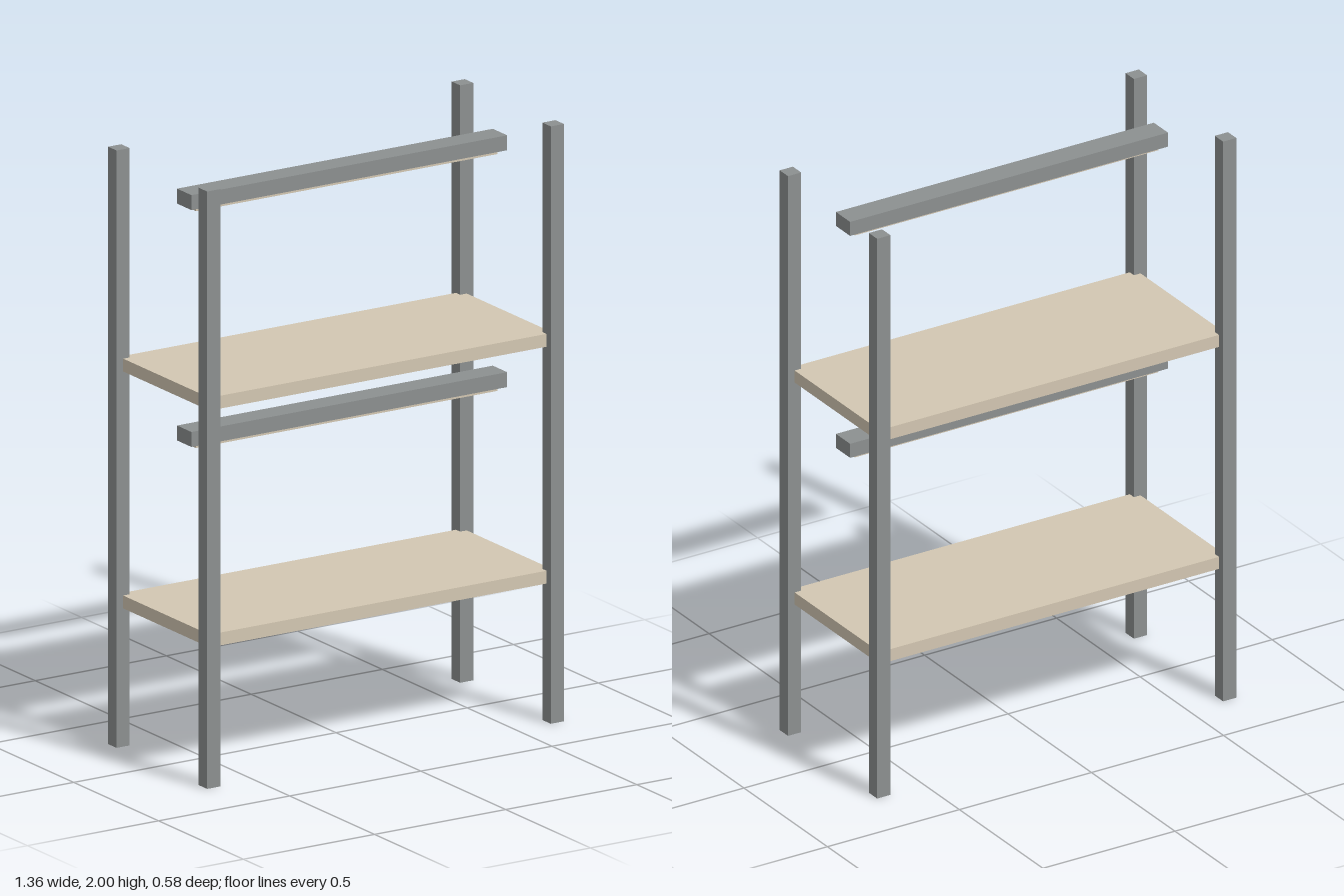
import * as THREE from 'three';

export function createModel() {
  const model = new THREE.Group();
  model.name = 'shelfRack';
  const metal = new THREE.MeshStandardMaterial({ color: 0x8c9090 });
  const wood = new THREE.MeshStandardMaterial({ color: 0xd3c7b2 });

  const box = (name, material, size, position, parent = model) => {
    const mesh = new THREE.Mesh(new THREE.BoxGeometry(...size), material);
    mesh.name = name;
    mesh.position.set(...position);
    parent.add(mesh);
    return mesh;
  };

  const postX = 0.655, postZ = 0.267, postWidth = 0.05;

  // Four square corner posts
  for (const [sx, side] of [[1, 'Left'], [-1, 'Right']]) {
    for (const [sz, end] of [[1, 'front'], [-1, 'back']]) {
      box(`${end}${side}Post`, metal, [postWidth, 2, postWidth], [sx * postX, 1, sz * postZ]);
    }
  }

  // Two tiers: a shelf reaching the post centres, and a lamp bar hung above it
  [['lower', 0.506], ['upper', 1.299]].forEach(([tier, top]) => {
    box(`${tier}Shelf`, wood, [2 * postX, 0.043, 2 * postZ], [0, top - 0.0215, 0]);

    const lamp = new THREE.Group();
    lamp.name = `${tier}Lamp`;
    lamp.position.set(0, top + 0.621, 0.036);
    model.add(lamp);
    box('lampHousing', metal, [1.204, 0.05, 0.085], [0, -0.025, 0], lamp);
    box('lampDiffuser', wood, [1.15, 0.012, 0.055], [0, -0.056, 0], lamp);
  });

  return model;
}
